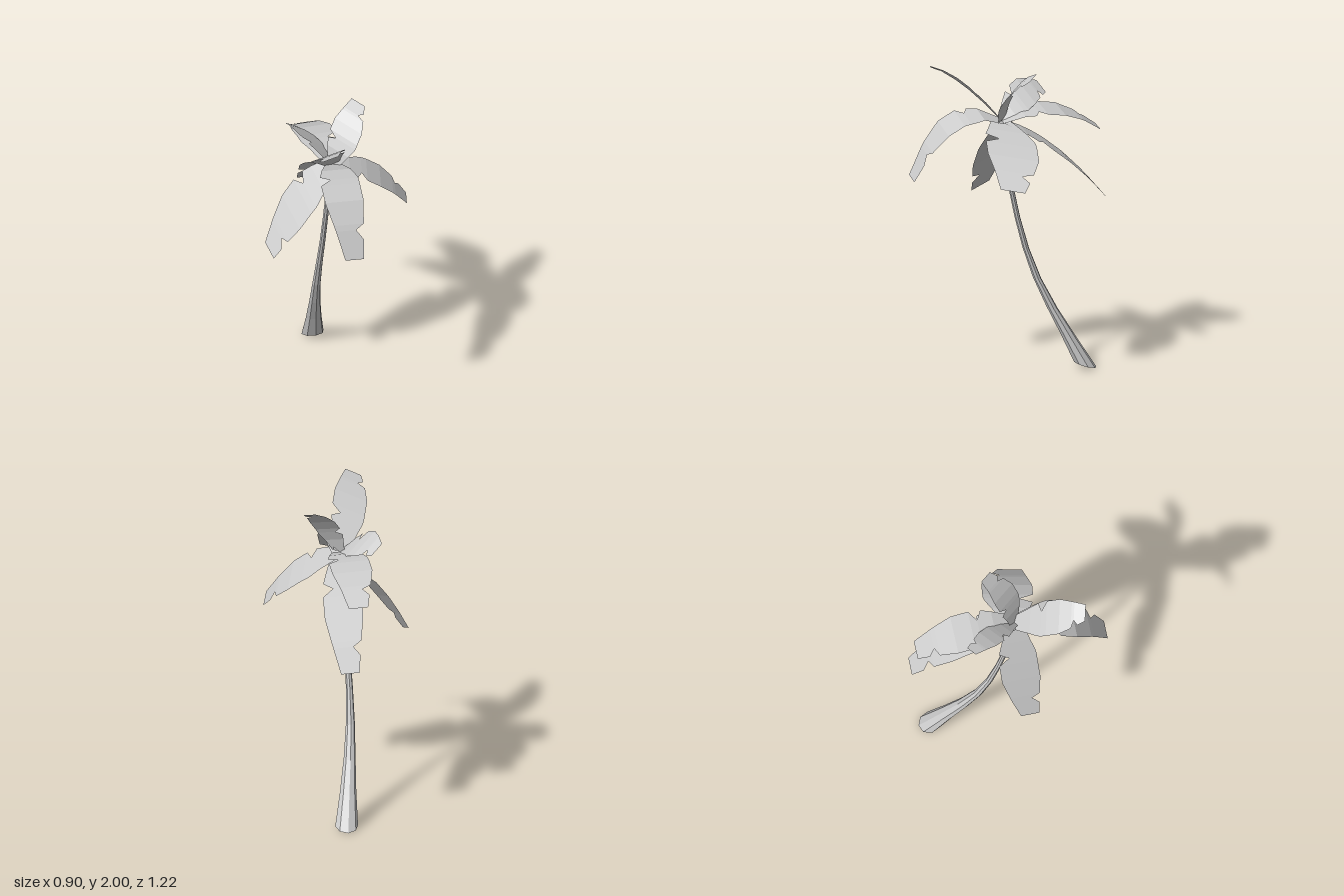
import * as THREE from 'three';

const CROWN = new THREE.Vector3(-.02, 1.64, .04);
const STATIONS = [0, .2, .3, .35, .42, .6, .78, .82, .88, 1];

// Half-width along a frond: opens from the stalk, tapers to a blunt tip, torn at one station.
const outline = (t, tear) => Math.min(1, .4 + 1.8 * t, .48 + 1.35 * (1 - t)) * (t === tear ? .45 : 1);

// Flat strip bent in five segments from the crown through `mid` to `tip`.
// `tilt` is the slope across the blade; `flip` swaps the two torn edges.
function frondGeometry(mid, tip, halfWidth, tilt, flip) {
  const m = new THREE.Vector3(...mid), end = new THREE.Vector3(...tip);
  const control = m.clone().multiplyScalar(2).addScaledVector(CROWN, -.5).addScaledVector(end, -.5);
  const spine = new THREE.QuadraticBezierCurve3(CROWN, control, end).getPoints(5);
  const heading = end.clone().sub(m).setY(0).normalize();
  const side = new THREE.Vector3(heading.z * flip, tilt, -heading.x * flip).normalize();
  const pos = [], index = [];
  STATIONS.forEach((t, row) => {
    const f = t * 5, i = Math.min(Math.floor(f), 4);
    const centre = spine[i].clone().lerp(spine[i + 1], f - i);
    for (const [sign, tear] of [[1, .82], [-1, .35]]) {
      pos.push(...centre.clone().addScaledVector(side, sign * halfWidth * outline(t, tear)).toArray());
    }
    if (row) {
      const k = row * 2;
      index.push(k - 2, k - 1, k, k - 1, k + 1, k);
    }
  });
  const geo = new THREE.BufferGeometry();
  geo.setAttribute('position', new THREE.Float32BufferAttribute(pos, 3));
  geo.setIndex(index);
  geo.computeVertexNormals();
  return geo;
}

// Eight-sided trunk that follows a leaning curve and flares at a foot cut aslant.
function trunkGeometry() {
  const path = new THREE.CatmullRomCurve3([
    new THREE.Vector3(.015, .021, -.485),
    new THREE.Vector3(-.052, .6, -.19),
    new THREE.Vector3(-.05, 1.05, -.055),
    new THREE.Vector3(-.03, 1.63, .045),
  ]);
  const geo = new THREE.CylinderGeometry(1, 1, 1, 8, 8);
  const p = geo.attributes.position;
  for (let i = 0; i < p.count; i++) {
    const u = p.getY(i) + .5;
    const c = path.getPointAt(u);
    const r = .017 + .054 * (1 - u) ** 3.5;
    const dz = p.getZ(i) * r;
    p.setXYZ(i, c.x + p.getX(i) * r, c.y + dz * .29, c.z + dz);
  }
  geo.computeVertexNormals();
  return geo;
}

export function createModel() {
  const model = new THREE.Group();
  model.name = 'palmTree';
  const bark = new THREE.MeshStandardMaterial({ color: 0xcccccc, flatShading: true });
  const leaf = new THREE.MeshStandardMaterial({ color: 0xcccccc, flatShading: true, side: THREE.DoubleSide });

  const trunk = new THREE.Mesh(trunkGeometry(), bark);
  trunk.name = 'trunk';
  model.add(trunk);

  const crown = new THREE.Group();
  crown.name = 'crown';
  model.add(crown);
  const addFrond = (name, mid, tip, halfWidth, tilt = 0, flip = 1) => {
    const frond = new THREE.Mesh(frondGeometry(mid, tip, halfWidth, tilt, flip), leaf);
    frond.name = name;
    crown.add(frond);
  };

  // Drooping fronds
  addFrond('frontFrond', [-.055, 1.65, .35], [-.055, 1.305, .61], .125, -.1);
  addFrond('upperBackFrond', [-.04, 1.69, -.28], [-.045, 1.54, -.585], .125, .04);
  addFrond('lowerBackFrond', [.011, 1.435, -.3], [.01, 1.11, -.61], .12, .04);
  addFrond('leftFrond', [.24, 1.53, .045], [.44, 1.33, .1], .16, -.17);
  addFrond('rightFrond', [-.245, 1.385, .03], [-.435, 1.09, .06], .135, -.4);

  // Raised fronds
  addFrond('raisedFrontFrond', [-.115, 1.87, .26], [-.165, 1.985, .46], .108, -.4, -1);
  addFrond('raisedLeftFrond', [.075, 1.84, .01], [.19, 1.97, -.1], .1, -.32, -1);
  addFrond('raisedRightFrond', [-.125, 1.765, -.12], [-.205, 1.78, -.265], .105, -.72, -1);

  return model;
}
